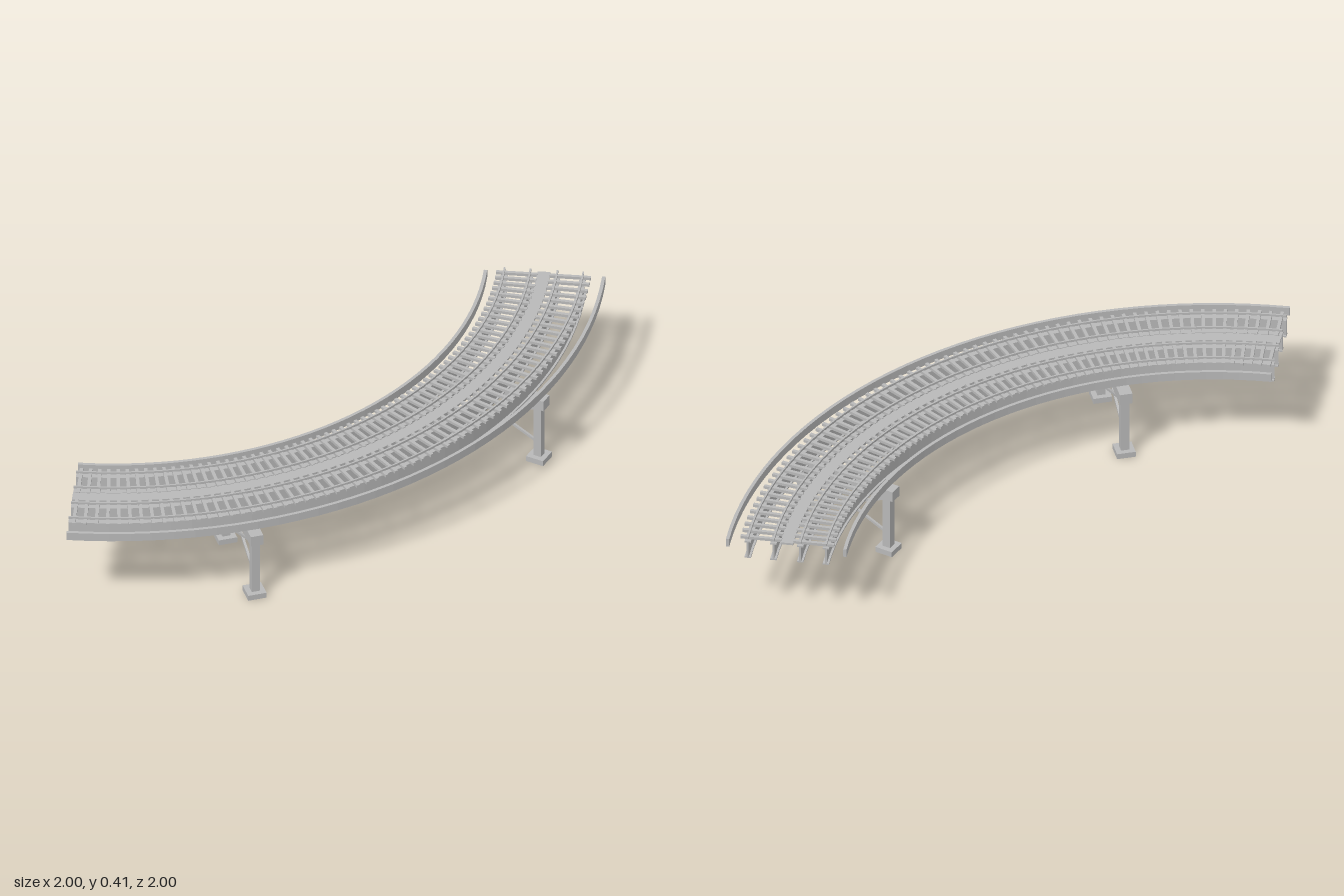
import * as THREE from 'three';
import { mergeGeometries } from 'three/addons/utils/BufferGeometryUtils.js';

const ARC = Math.PI / 2;
const MID = 1.75; // radius of the bridge centre line
const STEPS = 36;

// Sweep a closed counter-clockwise (radius, height) profile round a quarter turn, with end faces
function sweep(points) {
  const pts = points.map(([r, y]) => new THREE.Vector2(r, y));
  const body = new THREE.LatheGeometry([...pts, pts[0]], STEPS, 0, ARC);
  const start = new THREE.ShapeGeometry(new THREE.Shape(pts)).rotateY(-ARC);
  const end = new THREE.ShapeGeometry(new THREE.Shape(pts));
  end.setIndex(Array.from(end.index.array).reverse());
  const geo = mergeGeometries([body, start, end].map((g) => g.toNonIndexed()));
  geo.computeVertexNormals();
  return geo;
}

const strip = (r, width, y0, y1) => sweep([
  [r - width / 2, y0], [r + width / 2, y0], [r + width / 2, y1], [r - width / 2, y1],
]);

// I-section girder
function girderGeometry(r) {
  const f = 0.013, w = 0.004, y0 = 0.309, y1 = 0.39, t = 0.006;
  return sweep([
    [r - f, y0], [r + f, y0], [r + f, y0 + t], [r + w, y0 + t],
    [r + w, y1 - t], [r + f, y1 - t], [r + f, y1], [r - f, y1],
    [r - f, y1 - t], [r - w, y1 - t], [r - w, y0 + t], [r - f, y0 + t],
  ]);
}

export function createModel() {
  const steel = new THREE.MeshStandardMaterial({ color: 0xb8b8b8 });
  steel.name = 'grey steel';

  const model = new THREE.Group();
  model.name = 'curvedRailBridge';
  const bridge = new THREE.Group(); // origin at the centre of the curve
  bridge.name = 'bridge';
  bridge.position.set(-1, 0, -1);
  model.add(bridge);

  const add = (parent, name, geo) => {
    const mesh = new THREE.Mesh(geo, steel);
    mesh.name = name;
    parent.add(mesh);
    return mesh;
  };

  // Girders with a rail above each
  for (const offset of [-0.16, -0.055, 0.055, 0.16]) {
    add(bridge, 'girder', girderGeometry(MID + offset));
    add(bridge, 'rail', strip(MID + offset, 0.007, 0.4, 0.41));
  }

  // Central walkway and the edge beams on both sides
  add(bridge, 'walkway', strip(MID, 0.052, 0.39, 0.399));
  add(bridge, 'innerEdgeBeam', strip(1.512, 0.014, 0.356, 0.392));
  add(bridge, 'outerEdgeBeam', strip(1.993, 0.014, 0.356, 0.392));

  // Sleepers of the two tracks
  const COUNT = 66;
  for (const [name, r] of [['innerSleepers', MID - 0.108], ['outerSleepers', MID + 0.108]]) {
    const sleepers = [];
    for (let i = 0; i < COUNT; i++) {
      sleepers.push(new THREE.BoxGeometry(0.014, 0.012, 0.17)
        .translate(0, 0.396, r)
        .rotateY(((i + 0.5) / COUNT) * ARC));
    }
    add(bridge, name, mergeGeometries(sleepers));
  }

  // Two piers, each built along its radius (local z)
  for (const angle of [ARC / 4, (3 * ARC) / 4]) {
    const pier = new THREE.Group();
    pier.name = 'pier';
    pier.rotation.y = angle;
    bridge.add(pier);

    add(pier, 'pierCap', new THREE.BoxGeometry(0.053, 0.047, 0.476)).position.set(0, 0.2855, 1.746);
    for (const r of [1.543, 1.95]) {
      add(pier, 'column', new THREE.BoxGeometry(0.034, 0.245, 0.034)).position.set(0, 0.143, r);
      add(pier, 'footing', new THREE.BoxGeometry(0.078, 0.024, 0.078)).position.set(0, 0.012, r);
    }
    // Crossed braces
    const run = 0.38, rise = 0.17;
    for (const s of [-1, 1]) {
      const brace = add(pier, 'brace', new THREE.BoxGeometry(0.01, 0.01, Math.hypot(run, rise)));
      brace.position.set(s * 0.005, 0.167, 1.746);
      brace.rotation.x = s * Math.atan2(rise, run);
    }
  }
  return model;
}
